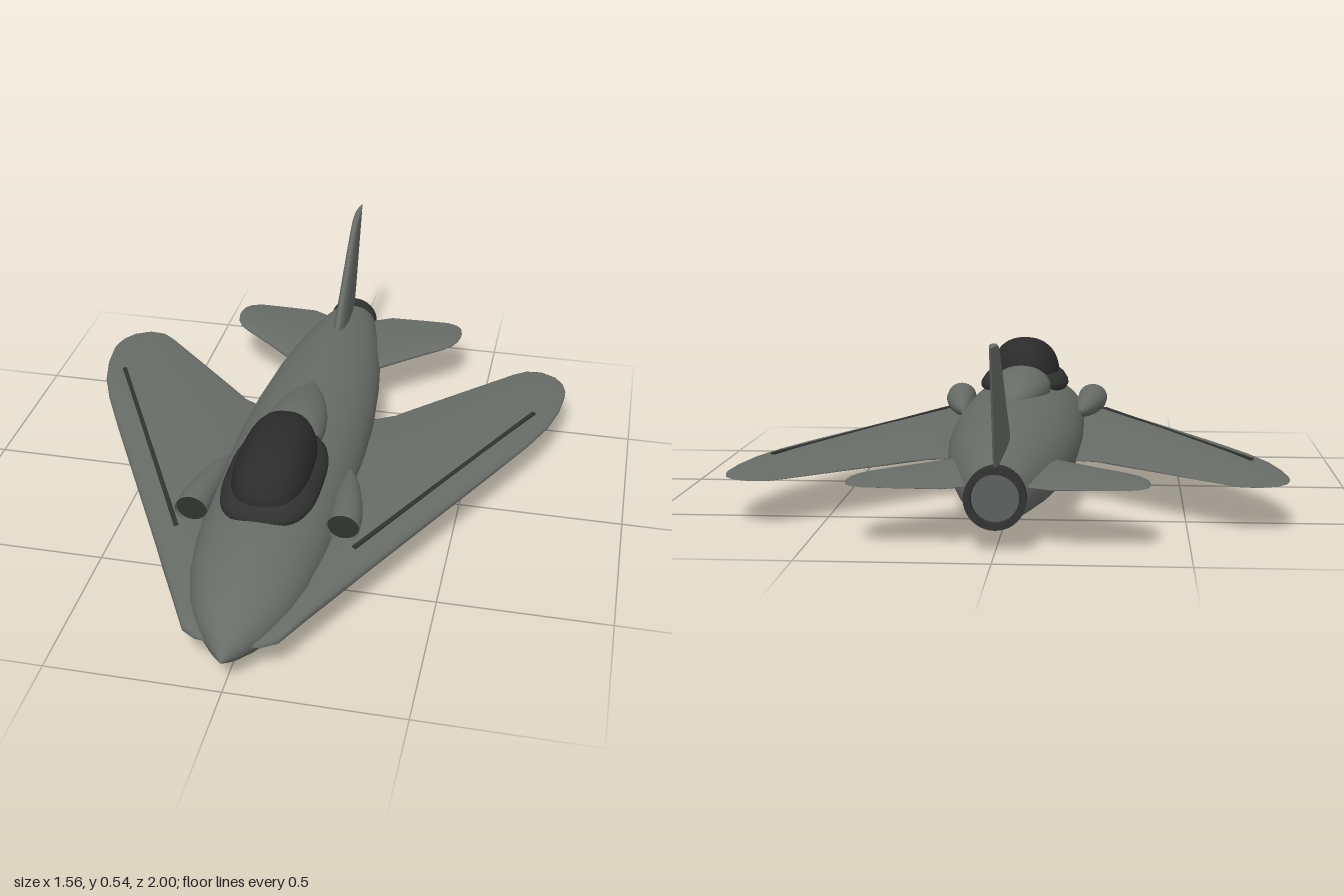
import * as THREE from 'three';
import { toCreasedNormals } from 'three/addons/utils/BufferGeometryUtils.js';

const mat = (name, color, side = THREE.FrontSide) =>
  Object.assign(new THREE.MeshStandardMaterial({ color, side }), { name });

// Skin closed rings of [x, y, z] points, cap both ends if asked, and face it outwards
function loft(rings, capped = true) {
  const pos = [], index = [], n = rings[0].length;
  rings.forEach(r => r.forEach(p => pos.push(...p)));
  for (let i = 0; i < rings.length - 1; i++) {
    for (let j = 0; j < n; j++) {
      const k = (j + 1) % n, a = i * n + j, b = i * n + k;
      index.push(a, b, b + n, a, b + n, a + n);
    }
  }
  if (capped) {
    [rings[0], rings[rings.length - 1]].forEach((r, end) => {
      const base = pos.length / 3;
      r.forEach(p => pos.push(...p));
      pos.push(...[0, 1, 2].map(c => r.reduce((s, p) => s + p[c], 0) / n));
      for (let j = 0; j < n; j++) {
        const a = base + j, b = base + (j + 1) % n;
        index.push(...(end ? [a, b, base + n] : [b, a, base + n]));
      }
    });
  }
  // Signed volume tells whether the skin is inside out
  const v = i => new THREE.Vector3().fromArray(pos, i * 3);
  let volume = 0;
  for (let i = 0; i < index.length; i += 3) {
    volume += v(index[i]).dot(v(index[i + 1]).cross(v(index[i + 2])));
  }
  if (volume < 0) index.reverse();
  const g = new THREE.BufferGeometry();
  g.setAttribute('position', new THREE.Float32BufferAttribute(pos, 3));
  g.setIndex(index);
  g.computeVertexNormals();
  return g;
}

// Superellipse outline as [u, v] pairs; power 2 is an ellipse
function outline(a, b, power = 2, n = 40) {
  const f = c => Math.sign(c) * Math.abs(c) ** (2 / power);
  return Array.from({ length: n }, (_, i) => {
    const t = i / n * Math.PI * 2;
    return [a * f(Math.cos(t)), b * f(Math.sin(t))];
  });
}

// Body from rows of [z, centre x, half width, top, bottom]
const hull = (rows, capped) => loft(rows.map(([z, cx, w, top, bottom]) =>
  outline(w, (top - bottom) / 2).map(([x, y]) => [cx + x, (top + bottom) / 2 + y, z])), capped);

// Airfoil surface from stations of [span, leading z, trailing z, centre, half thickness]
const foil = (stations, place) => loft(stations.map(([s, le, te, c, t]) =>
  Array.from({ length: 32 }, (_, i) => {
    const a = i / 32 * Math.PI * 2, k = Math.cos(a);
    return place(s, c + t * Math.sin(a) * (0.65 + 0.35 * k) / 0.73, (le + te) / 2 + (le - te) / 2 * k);
  })));

export function createModel() {
  const model = new THREE.Group();
  model.name = 'jetAircraft';
  const body = mat('bodyGrey', 0x686c67, THREE.DoubleSide);
  const trim = mat('darkTrim', 0x313331, THREE.DoubleSide);
  const glass = mat('canopyGlass', 0x2b2b2c);
  const core = mat('engineCore', 0x5c605e);
  const add = (name, geometry, material) => {
    const m = new THREE.Mesh(geometry, material);
    m.name = name;
    model.add(m);
    return m;
  };

  // Fuselage
  add('fuselage', hull([
    [1, 0, 0.003, 0.105, 0.097], [0.98, 0, 0.022, 0.125, 0.083], [0.95, 0, 0.048, 0.15, 0.064],
    [0.9, 0, 0.087, 0.183, 0.044], [0.85, 0, 0.117, 0.208, 0.032], [0.8, 0, 0.14, 0.227, 0.024],
    [0.7, 0, 0.168, 0.25, 0.014], [0.55, 0, 0.188, 0.27, 0.008], [0.4, 0, 0.197, 0.281, 0.004],
    [0.2, 0, 0.2, 0.288, 0.001], [0, 0, 0.2, 0.29, 0], [-0.2, 0, 0.193, 0.284, 0.005],
    [-0.4, 0, 0.174, 0.275, 0.017], [-0.55, 0, 0.152, 0.265, 0.029], [-0.7, 0, 0.121, 0.246, 0.046],
    [-0.8, 0, 0.096, 0.229, 0.058], [-0.86, 0, 0.079, 0.214, 0.067]
  ]), body);

  // Fairing behind the canopy
  add('spineFairing', hull([
    [-0.17, 0, 0.004, 0.288, 0.25], [-0.15, 0, 0.02, 0.293, 0.25], [-0.1, 0, 0.046, 0.309, 0.24],
    [-0.04, 0, 0.068, 0.326, 0.23], [0.03, 0, 0.086, 0.341, 0.22], [0.1, 0, 0.095, 0.35, 0.22],
    [0.17, 0, 0.093, 0.348, 0.22], [0.24, 0, 0.07, 0.33, 0.22]
  ]), body);

  // Canopy frame and bubble, stacked as rounded rectangles
  const layer = (y, w, l, cz, power, tilt = 0) =>
    outline(w, l, power).map(([x, z]) => [x, y - tilt * z, cz + z]);
  add('canopyFrame', loft([
    layer(0.255, 0.135, 0.215, 0.367, 2.9, 0.05), layer(0.265, 0.142, 0.223, 0.367, 2.9, 0.05),
    layer(0.28, 0.14, 0.222, 0.367, 2.9, 0.05), layer(0.3, 0.127, 0.214, 0.367, 2.9, 0.04),
    layer(0.311, 0.112, 0.203, 0.367, 2.9, 0.03)
  ]), trim);
  const bubble = [];
  for (let i = 0; i <= 12; i++) {
    const t = i / 12 * Math.PI / 2, r = Math.max(Math.cos(t), 0.004) ** 0.9;
    bubble.push(layer(0.3 + 0.12 * Math.sin(t), 0.112 * r, 0.207 * r, 0.365 - 0.05 * Math.sin(t) ** 2, 2.6));
  }
  add('canopy', loft(bubble), glass);

  // Tail fin
  add('tailFin', foil([
    [0.18, -0.5, -0.86, 0, 0.023], [0.265, -0.55, -0.905, 0, 0.021], [0.35, -0.645, -0.935, 0, 0.018],
    [0.45, -0.755, -0.97, 0, 0.015], [0.5, -0.81, -0.988, 0, 0.013], [0.525, -0.845, -0.997, 0, 0.012],
    [0.538, -0.89, -1, 0, 0.01]
  ], (s, t, z) => [t, s, z]), body);

  // Exhaust ring and its core
  const ring = [[0.066, 0], [0.08, 0], [0.081, 0.07], [0.064, 0.07], [0.06, 0.04]]
    .map(p => new THREE.Vector2(...p));
  const nozzle = add('exhaustNozzle', toCreasedNormals(new THREE.LatheGeometry(ring, 40), 0.6), trim);
  nozzle.rotation.x = -Math.PI / 2;
  nozzle.position.set(0, 0.14, -0.822);
  const disc = add('exhaustCore', new THREE.CircleGeometry(0.064, 40), core);
  disc.rotation.y = Math.PI;
  disc.position.set(0, 0.14, -0.875);

  for (const [side, m] of [['left', 1], ['right', -1]]) {
    const place = (s, t, z) => [m * s, t, z];

    // Swept wing
    add(side + 'Wing', foil([
      [0.05, 0.93, -0.25, 0.105, 0.025], [0.09, 0.93, -0.25, 0.108, 0.028], [0.13, 0.91, -0.25, 0.114, 0.034],
      [0.19, 0.795, -0.25, 0.122, 0.039], [0.25, 0.68, -0.28, 0.125, 0.039], [0.3, 0.58, -0.33, 0.126, 0.037],
      [0.45, 0.29, -0.475, 0.129, 0.031], [0.6, 0, -0.62, 0.131, 0.023], [0.64, -0.08, -0.65, 0.131, 0.021],
      [0.69, -0.18, -0.655, 0.131, 0.017], [0.74, -0.3, -0.63, 0.13, 0.012], [0.768, -0.41, -0.59, 0.129, 0.007],
      [0.779, -0.5, -0.545, 0.129, 0.003]
    ], place), body);

    // Dark strip along the wing's upper surface
    const from = new THREE.Vector3(m * 0.26, 0.159, 0.51), to = new THREE.Vector3(m * 0.69, 0.148, -0.35);
    const strip = add(side + 'WingStrip', new THREE.BoxGeometry(0.013, 0.012, from.distanceTo(to)), trim);
    strip.position.lerpVectors(from, to, 0.5);
    strip.lookAt(to);

    // Tailplane
    add(side + 'Tailplane', foil([
      [0.05, -0.46, -0.83, 0.162, 0.022], [0.14, -0.5, -0.878, 0.163, 0.021], [0.25, -0.6, -0.88, 0.164, 0.016],
      [0.34, -0.675, -0.879, 0.165, 0.011], [0.372, -0.708, -0.866, 0.165, 0.008],
      [0.39, -0.745, -0.845, 0.165, 0.005], [0.397, -0.785, -0.81, 0.165, 0.002]
    ], place), body);

    // Cheek intake with dark mouth
    add(side + 'Intake', hull([
      [0.485, m * 0.222, 0.048, 0.247, 0.16], [0.42, m * 0.22, 0.047, 0.246, 0.16], [0.35, m * 0.212, 0.043, 0.24, 0.163],
      [0.27, m * 0.202, 0.031, 0.228, 0.17], [0.22, m * 0.195, 0.019, 0.217, 0.178], [0.18, m * 0.188, 0.005, 0.205, 0.187]
    ], false), body);
    const mouth = add(side + 'IntakeMouth', new THREE.CircleGeometry(0.046, 32), trim);
    mouth.scale.y = 0.9;
    mouth.position.set(m * 0.222, 0.2035, 0.472);
  }
  return model;
}
